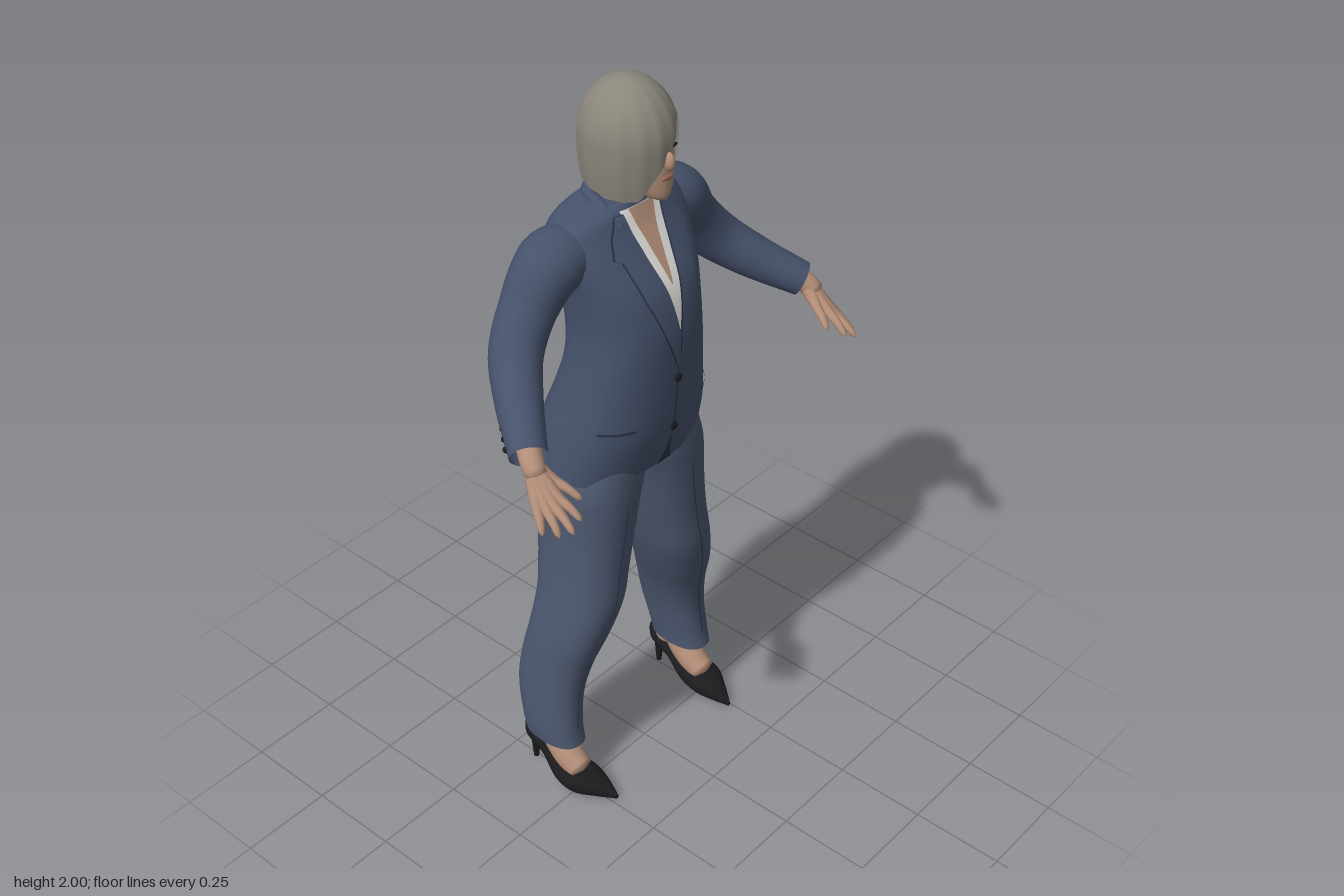
import * as THREE from 'three';
import { mergeVertices } from 'three/addons/utils/BufferGeometryUtils.js';

const mat = (name, color) => new THREE.MeshStandardMaterial({ name, color, side: THREE.DoubleSide });
const V = (x, y, z) => new THREE.Vector3(x, y, z);

// smooth interpolation of key rows
function smooth(rows, n) {
  const out = [], last = rows.length - 1;
  for (let k = 0; k <= n; k++) {
    const t = (k / n) * last, i = Math.min(Math.floor(t), last - 1), f = t - i;
    const p = [rows[Math.max(i - 1, 0)], rows[i], rows[i + 1], rows[Math.min(i + 2, last)]];
    out.push(rows[0].map((_, c) => {
      const [a, b, d, e] = p.map(r => r[c]);
      const m0 = (d - a) / 2, m1 = (e - b) / 2;
      return b + m0 * f + (3 * (d - b) - 2 * m0 - m1) * f * f + (2 * (b - d) + m0 + m1) * f * f * f;
    }));
  }
  return out;
}

// surface through rows of points, optionally closed around and capped
function grid(rings, closed, caps) {
  const n = rings[0].length, pos = [], idx = [], cols = closed ? n : n - 1;
  rings.forEach(r => r.forEach(p => pos.push(p.x, p.y, p.z)));
  for (let i = 0; i < rings.length - 1; i++) for (let j = 0; j < cols; j++) {
    const a = i * n + j, b = i * n + (j + 1) % n;
    idx.push(a, a + n, b, b, a + n, b + n);
  }
  if (caps) [0, rings.length - 1].forEach((i, top) => {
    const c = rings[i].reduce((s, p) => s.add(p), V(0, 0, 0)).divideScalar(n), base = pos.length / 3;
    [c, ...rings[i]].forEach(p => pos.push(p.x, p.y, p.z));
    for (let j = 0; j < n; j++) {
      const a = base + 1 + j, b = base + 1 + (j + 1) % n;
      top ? idx.push(base, b, a) : idx.push(base, a, b);
    }
  });
  const g = new THREE.BufferGeometry();
  g.setAttribute('position', new THREE.Float32BufferAttribute(pos, 3));
  g.setIndex(idx);
  g.computeVertexNormals();
  return g;
}

// stack of rounded sections: rows of [y, centre x, centre z, half width, half depth]
const bend = (v, e) => Math.sign(v) * Math.abs(v) ** e;
function loft(rows, n = 36, e = 1, seg = 36) {
  return grid(smooth(rows, n).map(([y, cx, cz, rx, rz]) => Array.from({ length: seg }, (_, j) => {
    const a = j / seg * Math.PI * 2;
    return V(cx + rx * bend(Math.cos(a), e), y, cz + rz * bend(Math.sin(a), e));
  })), true, true);
}

// tube along keys of [x, y, z, radius]
function sweep(keys, seg = 24, radial = 16, capEnd = false) {
  const curve = new THREE.CatmullRomCurve3(keys.map(k => V(k[0], k[1], k[2])));
  let g = new THREE.TubeGeometry(curve, seg, 1, radial, false);
  const p = g.attributes.position, v = V(0, 0, 0);
  for (let i = 0; i <= seg; i++) {
    const t = curve.getUtoTmapping(i / seg) * (keys.length - 1), k = Math.min(Math.floor(t), keys.length - 2);
    let r = THREE.MathUtils.lerp(keys[k][3], keys[k + 1][3], t - k);
    if (capEnd && i === seg) r *= 0.05;
    const c = curve.getPointAt(i / seg);
    for (let j = 0; j <= radial; j++) {
      const q = i * (radial + 1) + j;
      v.fromBufferAttribute(p, q).sub(c).multiplyScalar(r).add(c);
      p.setXYZ(q, v.x, v.y, v.z);
    }
  }
  g.deleteAttribute('uv'); g.deleteAttribute('normal');
  g = mergeVertices(g, 1e-5);
  g.computeVertexNormals();
  return g;
}

export function createModel() {
  const model = new THREE.Group();
  const M = {
    jacket: mat('jacket blue', 0x46526b), trousers: mat('trouser blue', 0x4c576e),
    seam: mat('seam navy', 0x2b3243), shirt: mat('shirt white', 0xe4e2de),
    skin: mat('skin', 0xb48f79), hair: mat('ash hair', 0x8a867b),
    black: mat('shoe black', 0x1b1b1d), lips: mat('lips', 0x9a6558),
  };
  const add = (name, g, m) => {
    const mesh = new THREE.Mesh(g, m); mesh.name = name; model.add(mesh); return mesh;
  };
  const ball = (name, m, [x, y, z], [a, b, c]) => {
    const o = add(name, new THREE.SphereGeometry(1, 20, 14), m);
    o.position.set(x, y, z); o.scale.set(a, b, c);
  };

  // jacket body: y, half width, front z, back z
  const body = [
    [0.985, 0.24, 0.06, -0.245], [1.1, 0.222, 0.09, -0.235], [1.2, 0.2, 0.1, -0.2], [1.3, 0.183, 0.105, -0.172],
    [1.4, 0.173, 0.105, -0.175], [1.5, 0.183, 0.085, -0.19], [1.58, 0.203, 0.04, -0.2], [1.64, 0.2, 0.005, -0.195],
    [1.675, 0.165, -0.01, -0.178], [1.7, 0.08, -0.02, -0.15]];
  const E = 0.85;
  const bodyRows = body.map(([y, w, f, b]) => [y, 0, (f + b) / 2, w, (f - b) / 2]);
  add('jacketBody', loft(bodyRows, 48, E, 56), M.jacket);

  // front surface of the jacket, used to lay plates on it
  const dense = smooth(bodyRows, 90);
  const frontZ = (x, y) => {
    let i = dense.findIndex(r => r[0] >= y); i = Math.max(i, 1);
    const a = dense[i - 1], b = dense[i], f = THREE.MathUtils.clamp((y - a[0]) / (b[0] - a[0]), 0, 1);
    const [cz, w, d] = [2, 3, 4].map(c => a[c] + (b[c] - a[c]) * f);
    const c = Math.min(Math.abs(x) / w, 1) ** (1 / E);
    return cz + d * Math.sqrt(1 - c * c) ** E;
  };
  // plate given as rows of [y, x0, x1] from top to bottom
  const plate = (name, m, rows, lift, s = 1) => {
    const pts = [];
    for (let i = 0; i < rows.length - 1; i++) for (let k = i ? 1 : 0; k <= 6; k++) {
      const [y, p, q] = rows[i].map((v, c) => v + (rows[i + 1][c] - v) * k / 6);
      const x0 = s > 0 ? p : -q, x1 = s > 0 ? q : -p;
      pts.push(Array.from({ length: 9 }, (_, j) => {
        const x = x0 + (x1 - x0) * j / 8;
        return V(x, y, frontZ(x, y) + lift);
      }));
    }
    add(name, grid(pts, false, false), m);
  };
  plate('shirt', M.shirt, [[1.69, -0.065, 0.065], [1.6, -0.047, 0.047], [1.5, -0.024, 0.024], [1.38, -0.002, 0.002]], 0.004);
  plate('openNeckline', M.skin, [[1.69, -0.042, 0.042], [1.62, -0.024, 0.024], [1.51, -0.002, 0.002]], 0.006);
  plate('frontClosure', M.seam, [[1.33, -0.002, 0.002], [1.08, -0.002, 0.002]], 0.003);
  plate('frontCutaway', M.seam, [[1.08, -0.001, 0.001], [1.03, -0.008, 0.008], [0.987, -0.026, 0.026]], 0.003);
  for (const y of [1.255, 1.108]) ball('frontButton', M.black, [0, y, frontZ(0, y) + 0.004], [0.012, 0.012, 0.006]);
  const vent = add('backVent', new THREE.BoxGeometry(0.005, 0.12, 0.008), M.seam);
  vent.position.set(0, 1.045, -0.241); vent.rotation.x = 0.08;

  // collar around the back of the neck
  add('collar', sweep([[-0.08, 1.66, -0.005, 0.01], [-0.078, 1.69, -0.06, 0.015], [-0.055, 1.7, -0.125, 0.017], [0, 1.7, -0.15, 0.018],
    [0.055, 1.7, -0.125, 0.017], [0.078, 1.69, -0.06, 0.015], [0.08, 1.66, -0.005, 0.01]], 32, 12), M.jacket);

  // neck and face
  add('neck', loft([[1.62, 0, -0.08, 0.06, 0.06], [1.69, 0, -0.075, 0.053, 0.055], [1.78, 0, -0.06, 0.05, 0.055]], 10), M.skin);
  add('head', loft([[1.725, 0, 0.042, 0.015, 0.02], [1.737, 0, 0.025, 0.034, 0.045], [1.77, 0, -0.002, 0.056, 0.074],
    [1.82, 0, -0.022, 0.073, 0.092], [1.87, 0, -0.032, 0.08, 0.097], [1.92, 0, -0.04, 0.075, 0.09], [1.96, 0, -0.045, 0.045, 0.055]]), M.skin);
  ball('nose', M.skin, [0, 1.826, 0.073], [0.011, 0.023, 0.016]);
  ball('mouth', M.lips, [0, 1.785, 0.069], [0.02, 0.007, 0.007]);
  for (const s of [-1, 1]) {
    ball('eye', M.black, [s * 0.031, 1.85, 0.059], [0.014, 0.005, 0.004]);
    ball('eyebrow', M.hair, [s * 0.032, 1.868, 0.057], [0.018, 0.003, 0.004]);
  }

  // bob haircut: hem height by angle from the front, with a diagonal fringe
  const hem = [[-180, 1.757], [-120, 1.747], [-60, 1.732], [-38, 1.735], [-15, 1.8], [0, 1.84], [25, 1.9],
    [40, 1.912], [46, 1.87], [53, 1.74], [100, 1.745], [180, 1.757]];
  const hemAt = d => {
    const i = Math.max(1, hem.findIndex(h => h[0] >= d)), [a, p] = hem[i - 1], [b, q] = hem[i];
    return p + (q - p) * (d - a) / (b - a);
  };
  const hairRings = [];
  for (let i = 0; i <= 26; i++) hairRings.push(Array.from({ length: 120 }, (_, j) => {
    const a = j / 120 * Math.PI * 2;
    let d = 90 - j * 3; if (d < -180) d += 360;
    const y = 2 - (2 - hemAt(d)) * Math.max(1 - i / 26, 0.001) ** 1.8;
    const r = (y > 1.86 ? Math.sqrt(1 - ((y - 1.86) / 0.14) ** 2) : 1 - 0.09 * ((1.86 - y) / 0.12) ** 2)
      * (1 + 0.008 * Math.sin(a * 15));
    return V(0.11 * r * Math.cos(a), y, -0.05 + 0.123 * r * Math.sin(a));
  }));
  add('bobHair', grid(hairRings, true, false), M.hair);

  // trouser leg: y, inner x, outer x, front z, back z
  const leg = [[0.15, 0.205, 0.315, 0, -0.18], [0.2, 0.2, 0.317, -0.01, -0.19], [0.3, 0.184, 0.31, -0.015, -0.21],
    [0.4, 0.155, 0.3, 0, -0.205], [0.5, 0.115, 0.288, 0.03, -0.19], [0.6, 0.08, 0.266, 0.05, -0.186], [0.7, 0.055, 0.25, 0.05, -0.195],
    [0.8, 0.033, 0.24, 0.052, -0.205], [0.9, 0.01, 0.236, 0.055, -0.21], [0.96, -0.01, 0.232, 0.055, -0.215], [1.05, -0.01, 0.2, 0.05, -0.2]];
  // shoe: z, bottom, top, centre x, half width
  const shoe = [[-0.192, 0.105, 0.14, 0.258, 0.016], [-0.17, 0.085, 0.132, 0.258, 0.032], [-0.11, 0.06, 0.105, 0.258, 0.037],
    [-0.05, 0.012, 0.07, 0.26, 0.05], [0.01, 0, 0.06, 0.257, 0.053], [0.06, 0, 0.045, 0.247, 0.032], [0.11, 0.004, 0.018, 0.237, 0.004]];
  // fingers: knuckle and tip, thumb first
  const fingers = [[[0.482, 1.245, 0.155], [0.457, 1.207, 0.213]], [[0.503, 1.225, 0.183], [0.493, 1.185, 0.245]],
    [[0.52, 1.215, 0.186], [0.527, 1.17, 0.253]], [[0.535, 1.21, 0.176], [0.55, 1.162, 0.23]], [[0.547, 1.207, 0.16], [0.568, 1.16, 0.195]]];

  for (const s of [-1, 1]) {
    const side = s > 0 ? 'left' : 'right';
    const mx = keys => keys.map(([x, ...r]) => [x * s, ...r]);

    // lapel and pocket
    const lapel = [[1.685, 0.062, 0.085], [1.64, 0.055, 0.113], [1.6, 0.046, 0.125], [1.592, 0.045, 0.108],
      [1.5, 0.023, 0.088], [1.4, 0.004, 0.05], [1.3, 0, 0.01]];
    plate(side + 'LapelEdge', M.seam, lapel.map(([y, a, b]) => [y, a, b + 0.003]), 0.007, s);
    plate(side + 'Lapel', M.jacket, lapel, 0.01, s);
    plate(side + 'PocketSeam', M.seam, [[1.15, 0.12, 0.195], [1.143, 0.12, 0.195]], 0.004, s);

    // sleeve with cuff buttons
    add(side + 'Sleeve', sweep(mx([[0.14, 1.59, -0.1, 0.078], [0.215, 1.585, -0.1, 0.083], [0.29, 1.5, -0.102, 0.069],
      [0.355, 1.422, -0.08, 0.065], [0.42, 1.358, -0.012, 0.057], [0.5, 1.293, 0.092, 0.045]]), 36, 24), M.jacket);
    for (let i = 0; i < 3; i++)
      ball(side + 'CuffButton', M.black, [s * (0.492 + i * 0.015), 1.325 - i * 0.012, 0.006 + i * 0.019], [0.008, 0.008, 0.008]);

    // hand
    add(side + 'Wrist', sweep(mx([[0.46, 1.325, 0.045, 0.03], [0.5, 1.29, 0.1, 0.028], [0.514, 1.255, 0.135, 0.025]]), 10, 14, true), M.skin);
    fingers.forEach(([k, t], i) => add(side + (i ? 'Finger' : 'Thumb'), sweep(mx([
      [0.503, 1.285, 0.105, 0.022], [(0.505 + k[0]) / 2, (1.28 + k[1]) / 2, (0.105 + k[2]) / 2, 0.018],
      [...k, 0.0135], [(k[0] + t[0]) / 2, (k[1] + t[1]) / 2 + 0.004, (k[2] + t[2]) / 2, 0.0105], [...t, 0.007]]), 18, 10, true), M.skin));

    // leg with pressed crease
    add(side + 'TrouserLeg', loft(leg.map(([y, a, b, f, k]) => [y, s * (a + b) / 2, (f + k) / 2, (b - a) / 2, (f - k) / 2]), 44, E), M.trousers);
    add(side + 'Crease', sweep(leg.slice(1, 9).map(([y, a, b, f]) => [s * (a + b) / 2, y, f, 0.002]), 40, 6), M.seam);

    // foot and high heel shoe
    add(side + 'Foot', sweep(mx([[0.256, 0.22, -0.1, 0.04], [0.256, 0.13, -0.085, 0.041], [0.257, 0.085, -0.045, 0.041],
      [0.257, 0.05, 0.005, 0.034]]), 20, 18, true), M.skin);
    ball(side + 'HeelSkin', M.skin, [s * 0.257, 0.125, -0.14], [0.029, 0.035, 0.036]);
    add(side + 'Shoe', loft(shoe.map(([z, b, t, cx, w]) => [z, s * cx, -(b + t) / 2, w, (t - b) / 2]), 30, E, 28).rotateX(Math.PI / 2), M.black);
    add(side + 'Heel', sweep(mx([[0.258, 0.11, -0.16, 0.026], [0.258, 0.06, -0.168, 0.013], [0.258, 0, -0.17, 0.007]]), 12, 12), M.black);
  }
  return model;
}
